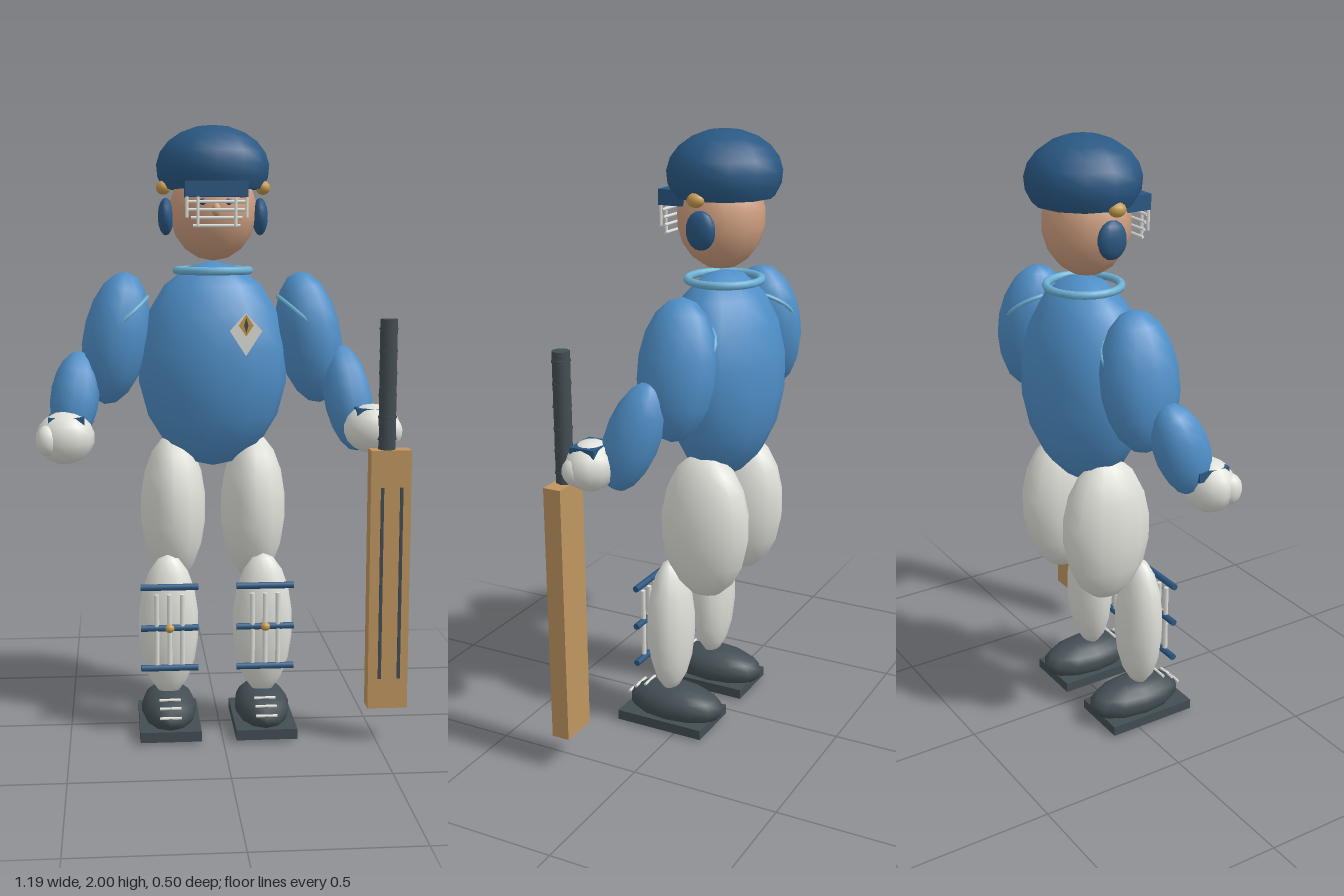
import * as THREE from 'three';

const mat = (name, color) => Object.assign(new THREE.MeshStandardMaterial({ color }), { name });
const CX = -0.015; // body's own centre line
const CZ = -0.063;

export function createModel() {
  const shirt = mat('shirtBlue', 0x4f8fc8);
  const navy = mat('navy', 0x2a5883);
  const trim = mat('lightBlueTrim', 0x6db2d6);
  const white = mat('offWhite', 0xe0e0da);
  const skin = mat('skin', 0xcf9f80);
  const dark = mat('charcoal', 0x434e54);
  const wood = mat('willow', 0xbf9660);
  const gold = mat('gold', 0xc49a4e);
  const model = new THREE.Group();

  const add = (name, geometry, material, p, rot = [0, 0, 0], parent = model) => {
    const m = new THREE.Mesh(geometry, material);
    m.name = name;
    m.position.set(...p);
    m.rotation.set(...rot);
    parent.add(m);
    return m;
  };
  const ball = new THREE.SphereGeometry(1, 12, 9);
  const blob = (name, material, p, r, rot) => {
    const m = add(name, ball, material, p, rot);
    m.scale.set(...r);
    return m;
  };
  const box = (name, material, p, s, rot) => add(name, new THREE.BoxGeometry(...s), material, p, rot);
  const rod = (name, material, a, b, r) => {
    const A = new THREE.Vector3(...a), B = new THREE.Vector3(...b);
    const m = add(name, new THREE.CylinderGeometry(r, r, A.distanceTo(B), 8), material,
      A.clone().lerp(B, 0.5).toArray());
    m.quaternion.setFromUnitVectors(new THREE.Vector3(0, 1, 0), B.sub(A).normalize());
    return m;
  };

  // Torso, collar and head
  blob('torso', shirt, [CX, 1.22, CZ], [0.25, 0.342, 0.19]);
  const collar = add('collar', new THREE.TorusGeometry(0.118, 0.013, 8, 24), trim, [CX, 1.53, CZ], [Math.PI / 2, 0, 0]);
  collar.scale.x = 1.02;
  blob('head', skin, [CX, 1.725, -0.052], [0.143, 0.163, 0.14]);

  // Helmet: dome with a flat underside
  const profile = [];
  for (let i = 0; i <= 7; i++) {
    const t = Math.PI * (1 - 0.333) * (1 - i / 7);
    profile.push(new THREE.Vector2(Math.sin(t), Math.cos(t)));
  }
  const dome = add('helmet', new THREE.LatheGeometry(profile, 12), navy, [CX, 1.862, CZ]);
  dome.scale.set(0.186, 0.138, 0.182);
  const base = add('helmetUnderside', new THREE.CircleGeometry(0.866, 12), navy, [CX, 1.793, CZ], [Math.PI / 2, 0, 0]);
  base.scale.set(0.186, 0.182, 1);
  box('visor', navy, [CX, 1.79, 0.075], [0.2, 0.05, 0.09]);
  for (const s of [-1, 1]) {
    blob('earGuard', navy, [CX + s * 0.155, 1.705, -0.057], [0.026, 0.061, 0.051]);
    blob('helmetStud', gold, [CX + s * 0.163, 1.798, -0.045], [0.024, 0.023, 0.029]);
    blob('eye', navy, [CX + s * 0.04, 1.75, 0.07], [0.013, 0.012, 0.01]);
  }
  blob('nose', skin, [CX, 1.725, 0.09], [0.015, 0.022, 0.015]);

  // Face grille
  for (let i = 0; i < 4; i++) {
    const y = 1.75 - i * 0.025, w = 0.096 - i * 0.007;
    rod('grilleBar', white, [CX - w, y, 0.108], [CX + w, y, 0.108], 0.005);
  }
  for (const x of [-0.095, -0.06, 0.06, 0.095]) {
    const low = Math.abs(x) > 0.08 ? 1.7 : 1.672;
    rod('grillePost', white, [CX + x, 1.81, 0.113], [CX + x, low, 0.113], 0.005);
  }

  // Chest badge
  const kite = (w, top, bottom) => new THREE.ShapeGeometry(new THREE.Shape([
    new THREE.Vector2(0, top), new THREE.Vector2(-w, 0), new THREE.Vector2(0, -bottom), new THREE.Vector2(w, 0)]));
  const plate = new THREE.ExtrudeGeometry(kite(0.052, 0.058, 0.08).parameters.shapes, { depth: 0.008, bevelEnabled: false });
  add('badge', plate, white, [0.078, 1.342, 0.115]);
  add('badgeDiamond', kite(0.024, 0.035, 0.035), gold, [0.078, 1.36, 0.125]);
  add('badgeCentre', kite(0.007, 0.025, 0.025), dark, [0.078, 1.36, 0.127]);

  // Upper arms with a trim ring, mirrored
  for (const s of [-1, 1]) {
    blob('upperArm', shirt, [CX + s * 0.322, 1.307, CZ], [0.109, 0.222, 0.127], [0, 0, s * 0.18]);
    add('sleeveTrim', new THREE.TorusGeometry(0.11, 0.007, 6, 24), trim,
      [CX + s * 0.3, 1.37, CZ], [Math.PI / 2, s * -0.72, 0]);
  }

  // Forearms, gloves and cuffs
  blob('rightForearm', shirt, [-0.473, 1.12, 0.0], [0.08, 0.155, 0.088], [-0.3, 0, -0.12]);
  blob('leftForearm', shirt, [0.425, 1.115, 0.028], [0.08, 0.18, 0.088], [-0.3, 0, 0.15]);
  blob('rightGlove', white, [-0.503, 0.998, 0.08], [0.095, 0.086, 0.08]);
  blob('rightThumb', white, [-0.56, 0.995, 0.12], [0.036, 0.05, 0.04]);
  blob('leftGlove', white, [0.487, 1.027, 0.14], [0.093, 0.08, 0.08]);
  blob('leftThumb', white, [0.545, 1.02, 0.165], [0.036, 0.045, 0.04]);
  box('rightCuff', navy, [-0.498, 1.052, 0.065], [0.115, 0.03, 0.11]);
  box('leftCuff', navy, [0.488, 1.08, 0.138], [0.115, 0.03, 0.085]);

  // Bat
  box('batBlade', wood, [0.531, 0.545, 0.216], [0.13, 0.85, 0.06]);
  for (const x of [0.503, 0.565]) box('bladeGroove', dark, [x, 0.535, 0.247], [0.01, 0.63, 0.007]);
  rod('batHandle', dark, [0.521, 0.96, 0.215], [0.521, 1.385, 0.215], 0.028);
  for (let i = 0; i < 6; i++) {
    rod('gripRing', dark, [0.521, 1.0 + i * 0.07, 0.215], [0.521, 1.008 + i * 0.07, 0.215], 0.03);
  }

  // Legs, pads and shoes, mirrored
  for (const s of [-1, 1]) {
    const x = CX + s * 0.157;
    blob('thigh', white, [CX + s * 0.135, 0.735, CZ], [0.11, 0.25, 0.155]);
    blob('shin', white, [x, 0.36, 0.054], [0.1, 0.24, 0.075]);
    for (const y of [0.51, 0.373, 0.238]) rod('padStrap', navy, [x - 0.094, y, 0.137], [x + 0.094, y, 0.137], 0.011);
    for (const d of [-0.042, 0, 0.042]) rod('padRib', white, [x + d, 0.25, 0.138], [x + d, 0.485, 0.138], 0.008);
    blob('padStud', gold, [x, 0.373, 0.144], [0.016, 0.014, 0.013]);
    blob('shoe', dark, [x, 0.072, 0.038], [0.092, 0.07, 0.175]);
    box('sole', dark, [x, 0.027, 0.053], [0.2, 0.034, 0.315]);
    for (const [y, z] of [[0.128, 0.14], [0.112, 0.177], [0.088, 0.202]]) {
      rod('lace', white, [x - 0.035, y, z], [x + 0.035, y, z], 0.005);
    }
  }
  return model;
}
